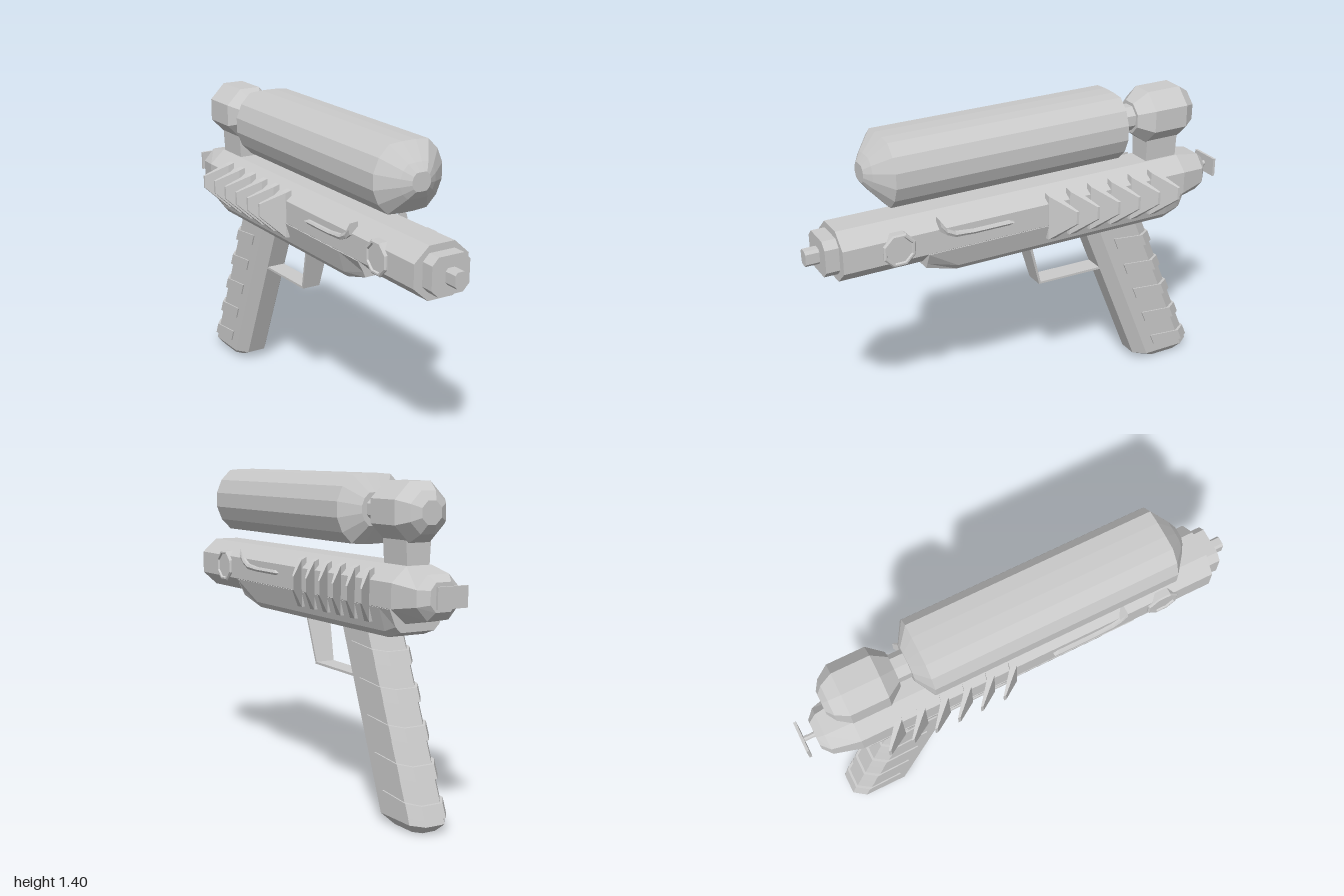
import * as THREE from 'three';

const material = new THREE.MeshStandardMaterial({ color: 0xcccccc, flatShading: true });

// Faceted closed solid through rings of [x, y, z] points, capped at both ends
function loft(rings) {
  const tris = [], n = rings[0].length;
  for (let r = 0; r + 1 < rings.length; r++) {
    for (let i = 0; i < n; i++) {
      const j = (i + 1) % n, a = rings[r], b = rings[r + 1];
      tris.push([a[i], a[j], b[j]], [a[i], b[j], b[i]]);
    }
  }
  const cap = (ring, flip) => {
    for (let i = 1; i + 1 < n; i++) {
      tris.push(flip ? [ring[0], ring[i + 1], ring[i]] : [ring[0], ring[i], ring[i + 1]]);
    }
  };
  cap(rings[0], true);
  cap(rings[rings.length - 1], false);
  // Turn the faces outward whichever way the rings run
  const o = new THREE.Vector3(...rings[0][0]);
  let volume = 0;
  for (const t of tris) {
    const [a, b, c] = t.map(p => new THREE.Vector3(...p).sub(o));
    volume += a.dot(b.cross(c));
  }
  if (volume < 0) tris.forEach(t => t.reverse());
  const g = new THREE.BufferGeometry();
  g.setAttribute('position', new THREE.Float32BufferAttribute(tris.flat(2), 3));
  g.computeVertexNormals();
  return g;
}

// Chamfered rectangle: half width w, from v0 to v1, corners cut by cu and cv
const octagon = (w, v0, v1, cu, cv) => [
  [w - cu, v1], [w, v1 - cv], [w, v0 + cv], [w - cu, v0],
  [cu - w, v0], [-w, v0 + cv], [-w, v1 - cv], [cu - w, v1]];
const atZ = (pts, z) => pts.map(([x, y]) => [x, y, z]);
const atY = (pts, y) => pts.map(([x, z]) => [x, y, z]);

// Round ring across z; flat limits its height above and below the centre
function roundRing(radius, z, y, sides, flat = 1) {
  return Array.from({ length: sides }, (_, i) => {
    const a = (i + 0.5) / sides * Math.PI * 2, lim = radius * flat;
    return [radius * Math.cos(a),
      y + THREE.MathUtils.clamp(radius * Math.sin(a), -lim, lim), z];
  });
}

export function createModel() {
  const model = new THREE.Group();
  const add = (name, geometry) => {
    const mesh = new THREE.Mesh(geometry, material);
    mesh.name = name;
    model.add(mesh);
    return mesh;
  };

  // Main body with a tapered tail
  add('body', loft([
    [0.88, 0.13, 0.825, 1.05, 0.07, 0.062],
    [-0.78, 0.13, 0.825, 1.05, 0.07, 0.062],
    [-0.905, 0.1, 0.85, 1.027, 0.05, 0.055],
    [-0.94, 0.06, 0.885, 1.0, 0.025, 0.03],
  ].map(([z, ...o]) => atZ(octagon(...o), z))));

  // Lower shell under the body
  add('lowerShell', loft([[0.505, 0.808, 0.095], [0.36, 0.765, 0.085], [-0.7, 0.765, 0.085], [-0.775, 0.79, 0.08]]
    .map(([z, y, w]) => atZ([[0.133, 0.885], [0.105, y + 0.025], [w, y],
      [-w, y], [-0.105, y + 0.025], [-0.133, 0.885]], z))));

  // Muzzle and nozzle
  add('muzzle', loft([0.86, 0.94].map(z => atZ(octagon(0.09, 0.86, 1.02, 0.03, 0.03), z))));
  add('nozzle', loft([0.92, 1].map(z => atZ(octagon(0.026, 0.902, 0.97, 0.01, 0.012), z))));

  // Rear pull rod and plate
  const rod = add('pullRod', new THREE.CylinderGeometry(0.012, 0.012, 0.07, 8));
  rod.rotation.x = Math.PI / 2;
  rod.position.set(0, 0.948, -0.955);
  add('pullPlate', new THREE.BoxGeometry(0.14, 0.085, 0.012)).position.set(0, 0.948, -0.994);

  // Tank, neck and rear cap
  add('tank', loft([[0.74, 0.045], [0.715, 0.085], [0.65, 0.168], [-0.44, 0.168], [-0.492, 0.08]]
    .map(([z, r]) => roundRing(r, z, 1.255, 16, 0.86))));
  add('tankNeck', loft([-0.47, -0.57].map(z => roundRing(0.06, z, 1.257, 8))));
  add('tankCap', loft([[-0.55, 0.075], [-0.615, 0.128], [-0.78, 0.128], [-0.835, 0.09], [-0.86, 0.05]]
    .map(([z, r]) => roundRing(r, z, 1.257, 8))));
  add('capStem', loft([[1.03, 0.052], [1.17, 0.06]]
    .map(([y, w]) => atY([[w, -0.615], [w, -0.775], [-w, -0.775], [-w, -0.615]], y))));

  // Slanted grip with chamfered edges
  const gripFront = y => -0.305 - (0.77 - y) * 0.404;
  const gripBack = y => -0.605 - (0.77 - y) * 0.418;
  add('grip', loft([
    atY(octagon(0.085, gripBack(0.81), gripFront(0.81), 0.04, 0.055), 0.81),
    atY(octagon(0.085, gripBack(0.04), gripFront(0.04), 0.04, 0.055), 0.04),
    atY(octagon(0.055, -0.865, -0.675, 0.025, 0.035), 0.003),
  ]));

  // Raised bands wrapping the back of the grip, dipping to the rear
  for (let i = 0; i < 5; i++) {
    const top = 0.715 - i * 0.144;
    add('gripBand', loft([top, top - 0.055].map(y => {
      const start = gripFront(y) - 0.11, back = gripBack(y - 0.02) - 0.01;
      return [[0.091, y, start], [0.091, y - 0.015, back + 0.055], [0.05, y - 0.02, back],
        [-0.05, y - 0.02, back], [-0.091, y - 0.015, back + 0.055], [-0.091, y, start]];
    })));
  }

  // Thin strap guarding the trigger space
  const bar = (w, y, z, dy, dz) => [[w, y, z], [w, y + dy, z + dz], [-w, y + dy, z + dz], [-w, y, z]];
  add('triggerGuard', loft([
    bar(0.058, 0.785, -0.006, 0, -0.012),
    bar(0.044, 0.558, -0.07, 0.01, -0.008),
    bar(0.044, 0.553, -0.42, 0.01, 0),
  ]));

  for (const s of [1, -1]) {
    // Six swept-back fins on each side
    for (let i = 0; i < 6; i++) {
      const z = -0.065 - i * 0.106;
      const fin = (x, y0, y1, z0, z1) => [
        [s * x, y0, z + z0], [s * x, y1, z + z0], [s * x, y1, z + z1], [s * x, y0, z + z1]];
      add('sideFin', loft([
        fin(0.105, 0.82, 1.035, 0.005, -0.03),
        fin(0.132, 0.82, 1.025, 0, -0.035),
        fin(0.212, 0.905, 0.963, -0.092, -0.104),
      ]));
    }

    // Eight-sided raised rim with its inset centre
    const disc = (r, x) => Array.from({ length: 8 }, (_, i) => {
      const a = (i + 0.5) / 8 * Math.PI * 2;
      return [s * x, 0.94 + r * Math.sin(a), 0.637 + r * Math.cos(a)];
    });
    add('sideRim', loft([disc(0.077, 0.1), disc(0.077, 0.136), disc(0.07, 0.142), disc(0.062, 0.142), disc(0.058, 0.134)]));

    // Curved trim bar
    const trim = [[0.455, 1.035, 0.98], [0.425, 0.992, 0.958], [0.385, 0.97, 0.94], [0.3, 0.961, 0.936],
      [0.13, 0.961, 0.936], [0.108, 0.952, 0.945]];
    add('sideTrim', loft(trim.map(([z, y1, y0]) => [
      [s * 0.1, y1, z], [s * 0.14, y1 - 0.003, z], [s * 0.146, (y0 + y1) / 2, z], [s * 0.14, y0 + 0.003, z], [s * 0.1, y0, z]])));
  }
  return model;
}
